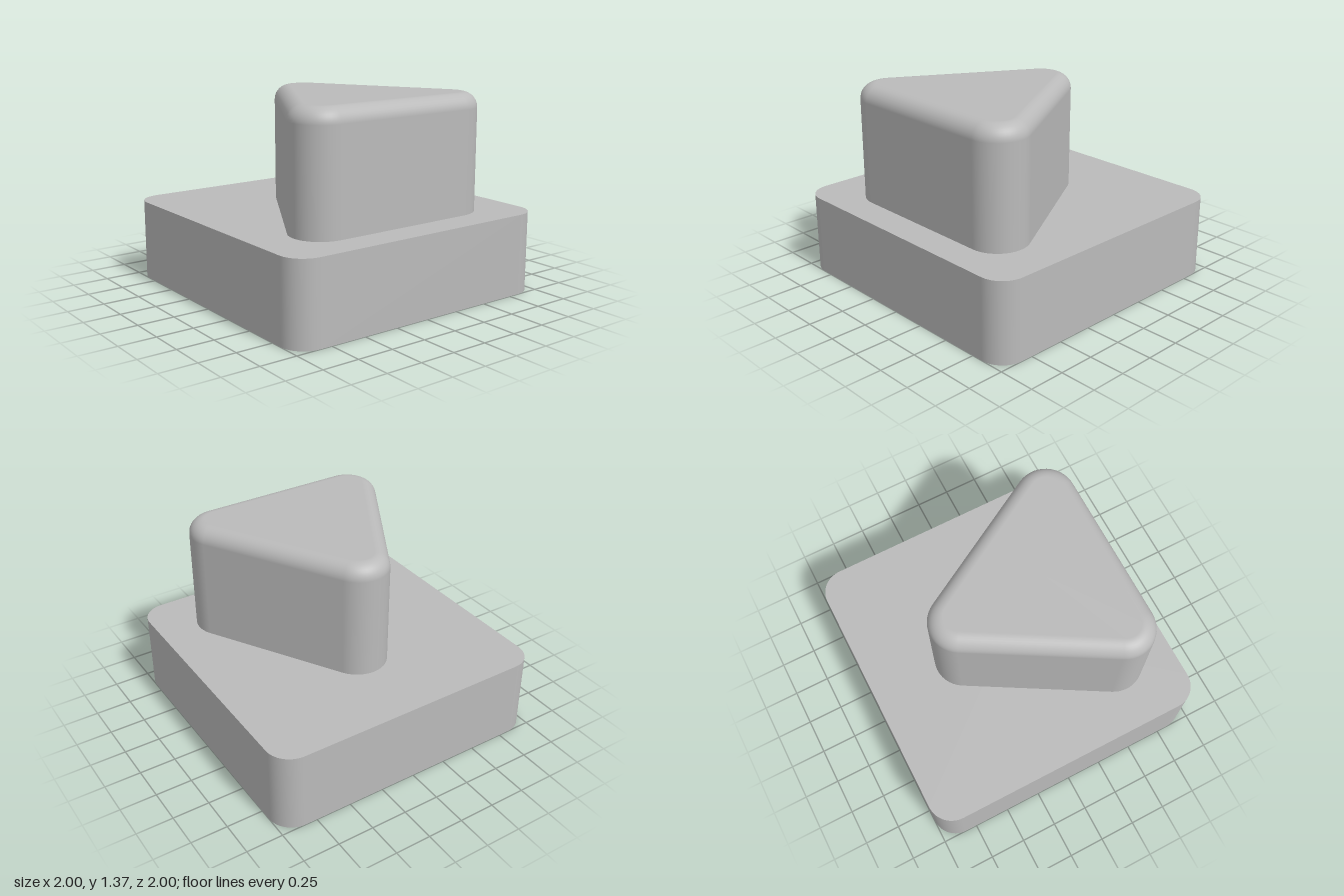
import * as THREE from 'three';

// Regular polygon prism with rounded corners and an optional rounded top edge.
// reach: distance from the axis to the corner arc centres; start: angle of the first corner from +z.
function roundedPrism({ sides, reach, start, radius, height, fillet = 0, arcSteps = 14, filletSteps = 10 }) {
  const outline = [];
  for (let c = 0; c < sides; c++) {
    const mid = start + (c / sides) * Math.PI * 2;
    for (let s = 0; s <= arcSteps; s++) {
      const a = mid + (s / arcSteps - 0.5) * (Math.PI * 2 / sides);
      outline.push({ cx: Math.sin(mid) * reach, cz: Math.cos(mid) * reach, dx: Math.sin(a), dz: Math.cos(a) });
    }
  }

  // Side profile: arc radius, height, outward and upward normal
  const profile = [[radius, 0, 1, 0]];
  if (fillet > 0) {
    for (let k = 0; k <= filletSteps; k++) {
      const t = (k / filletSteps) * Math.PI / 2;
      const c = Math.cos(t), s = Math.sin(t);
      profile.push([radius - fillet + fillet * c, height - fillet + fillet * s, c, s]);
    }
  } else {
    profile.push([radius, height, 1, 0]);
  }

  const positions = [], normals = [], index = [];
  const n = outline.length;
  const addRing = ([r, y, out, up]) => {
    const first = positions.length / 3;
    for (const p of outline) {
      positions.push(p.cx + p.dx * r, y, p.cz + p.dz * r);
      normals.push(p.dx * out, up, p.dz * out);
    }
    return first;
  };

  // Walls and rounded edge
  const rings = profile.map(addRing);
  for (let k = 0; k < rings.length - 1; k++) {
    for (let i = 0; i < n; i++) {
      const j = (i + 1) % n, a = rings[k], b = rings[k + 1];
      index.push(a + i, a + j, b + j, a + i, b + j, b + i);
    }
  }

  // Flat caps
  for (const up of [1, -1]) {
    const first = addRing([up > 0 ? radius - fillet : radius, up > 0 ? height : 0, 0, up]);
    const centre = positions.length / 3;
    positions.push(0, up > 0 ? height : 0, 0);
    normals.push(0, up, 0);
    for (let i = 0; i < n; i++) {
      const j = (i + 1) % n;
      if (up > 0) index.push(centre, first + i, first + j);
      else index.push(centre, first + j, first + i);
    }
  }

  const geometry = new THREE.BufferGeometry();
  geometry.setAttribute('position', new THREE.Float32BufferAttribute(positions, 3));
  geometry.setAttribute('normal', new THREE.Float32BufferAttribute(normals, 3));
  geometry.setIndex(index);
  return geometry;
}

export function createModel() {
  const group = new THREE.Group();
  const grey = new THREE.MeshStandardMaterial({ color: 0xbababa });
  grey.name = 'grey';

  // Square slab with rounded vertical corners
  const base = new THREE.Mesh(roundedPrism({
    sides: 4, reach: 0.83 * Math.SQRT2, start: Math.PI / 4, radius: 0.17, height: 0.555,
  }), grey);
  base.name = 'base';
  group.add(base);

  // Triangular block with a softened top edge, one corner pointing back
  const block = new THREE.Mesh(roundedPrism({
    sides: 3, reach: 0.599, start: Math.PI / 3, radius: 0.208, height: 0.81, fillet: 0.105,
  }), grey);
  block.name = 'triangularBlock';
  block.position.set(0, 0.555, 0.277);
  group.add(block);

  return group;
}
